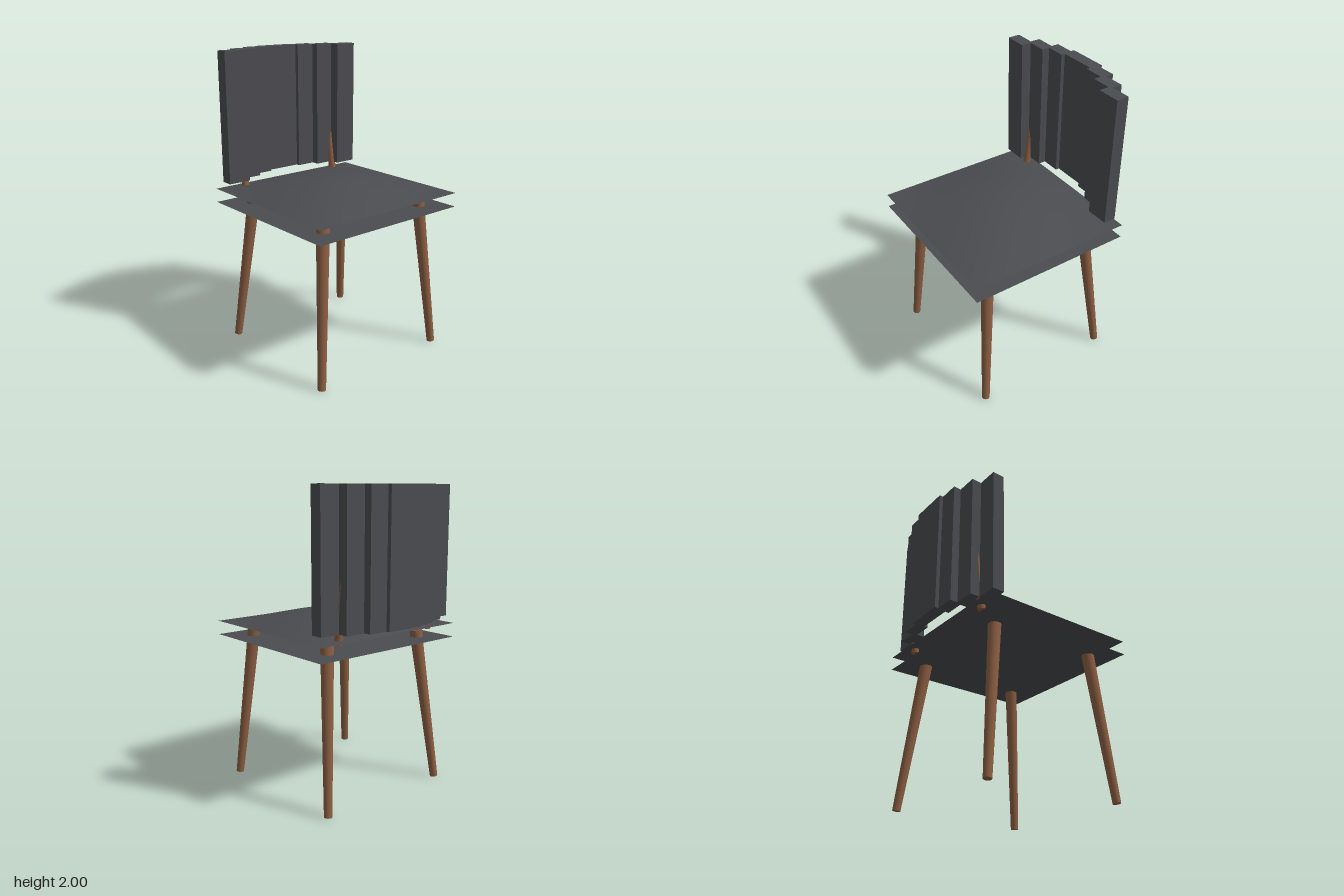
import * as THREE from 'three';

export function createModel() {
  const chair = new THREE.Group();
  chair.name = 'chair';
  const dark = new THREE.MeshStandardMaterial({ color: 0x4b4c50 });
  const darkThin = new THREE.MeshStandardMaterial({ color: 0x4b4c50, side: THREE.DoubleSide });
  const wood = new THREE.MeshStandardMaterial({ color: 0x8b5e42 });

  const add = (name, geometry, material) => {
    const mesh = new THREE.Mesh(geometry, material);
    mesh.name = name;
    chair.add(mesh);
    return mesh;
  };

  // Tapered round bar between two points
  const bar = (name, from, to, rFrom, rTo) => {
    const a = new THREE.Vector3(...from), b = new THREE.Vector3(...to);
    const dir = b.clone().sub(a);
    const mesh = add(name, new THREE.CylinderGeometry(rTo, rFrom, dir.length(), 24), wood);
    mesh.position.copy(a).add(b).multiplyScalar(0.5);
    mesh.quaternion.setFromUnitVectors(new THREE.Vector3(0, 1, 0), dir.normalize());
  };

  // Seat: flat base sheet and a softly domed cushion sheet above it
  const W = 1.15, D = 1.1, seatZ = 0.05;
  const base = add('seatBase', new THREE.PlaneGeometry(W, D).rotateX(-Math.PI / 2), darkThin);
  base.position.set(0, 0.997, seatZ);

  const dome = new THREE.PlaneGeometry(W, D, 32, 32).rotateX(-Math.PI / 2);
  const p = dome.attributes.position;
  for (let i = 0; i < p.count; i++) {
    p.setY(i, 0.093 * Math.cos(Math.PI * p.getX(i) / W) * Math.cos(Math.PI * p.getZ(i) / D));
  }
  dome.computeVertexNormals();
  add('seatCushion', dome, darkThin).position.set(0, 1.09, seatZ);

  // Backrest: upright slats stepping forward toward the sides
  const slat = (name, x0, x1, z) => {
    const mesh = add(name, new THREE.BoxGeometry(x1 - x0, 0.86, 0.083), dark);
    mesh.position.set((x0 + x1) / 2, 1.57, z);
  };
  slat('centreSlat', -0.136, 0.136, -0.564);

  for (const [side, s] of [['left', 1], ['right', -1]]) {
    [[0.125, 0.27, -0.538], [0.255, 0.406, -0.486], [0.386, 0.541, -0.418]].forEach(([a, b, z], i) =>
      slat(`${side}Slat${i + 1}`, Math.min(s * a, s * b), Math.max(s * a, s * b), z));

    // Legs and the posts that carry the backrest
    bar(`${side}FrontLeg`, [s * 0.495, 0.007, 0.512], [s * 0.407, 1.043, 0.42], 0.026, 0.042);
    bar(`${side}BackLeg`, [s * 0.482, 0.007, -0.446], [s * 0.388, 1.043, -0.33], 0.026, 0.042);
    bar(`${side}BackPost`, [s * 0.385, 1.07, -0.427], [s * 0.388, 1.7, -0.508], 0.026, 0.015);
  }
  return chair;
}
